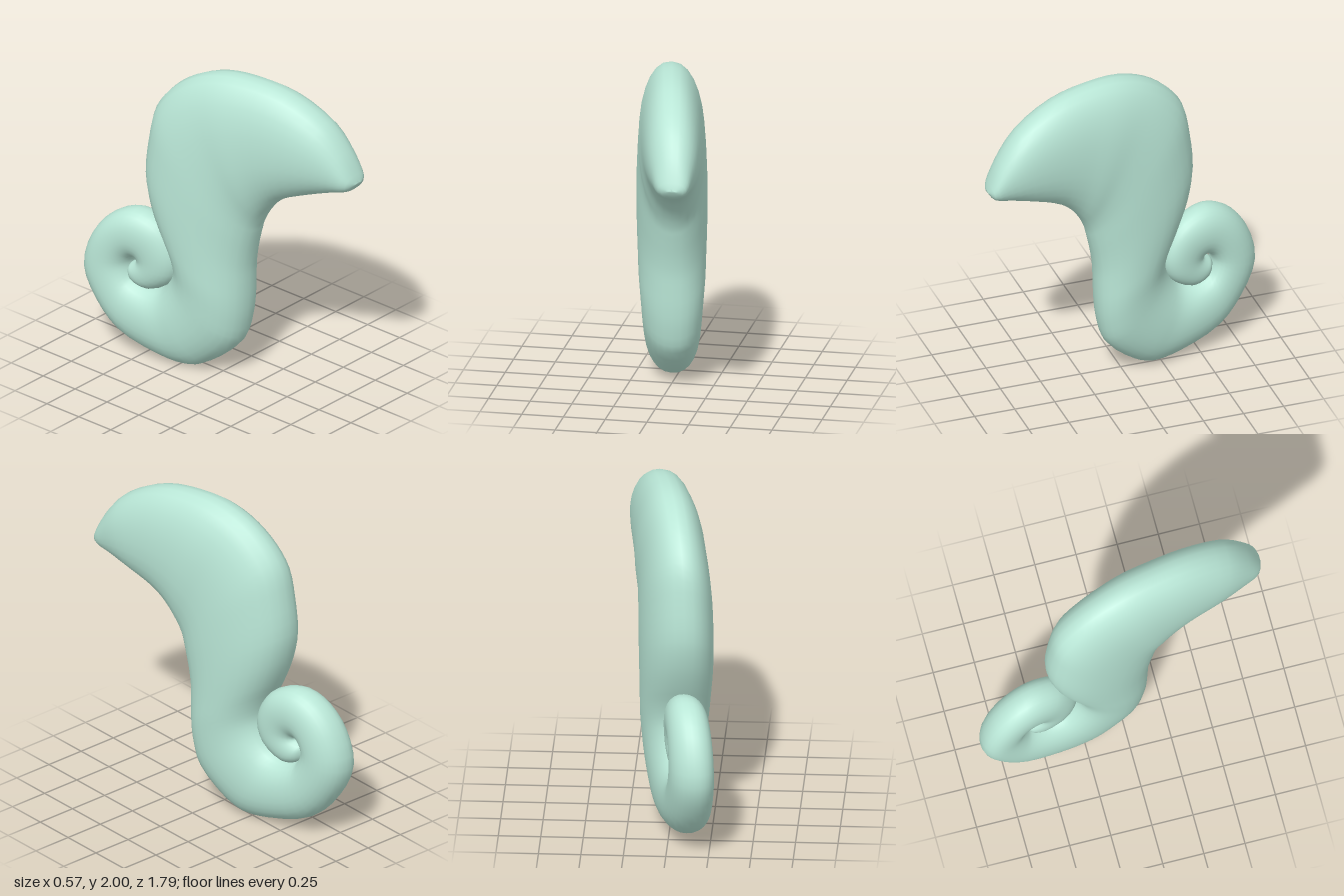
import * as THREE from 'three';

// Each row is one cross-section: outer z, outer y, inner z, inner y, half thickness
const head = [
  [0.9, 1.49, 0.9, 1.48, 0.025],
  [0.885, 1.535, 0.86, 1.43, 0.085],
  [0.82, 1.67, 0.74, 1.39, 0.125],
  [0.69, 1.83, 0.6, 1.34, 0.16],
  [0.45, 1.96, 0.41, 1.255, 0.18],
  [0.2, 2.0, 0.33, 1.18, 0.19],
  [0, 1.988, 0.28, 1.11, 0.2],
  [-0.18, 1.92, 0.255, 1.06, 0.2],
  [-0.32, 1.81, 0.24, 1.02, 0.205],
  [-0.41, 1.68, 0.23, 0.98, 0.21],
];
const body = [
  [-0.45, 1.5, 0.215, 0.92, 0.213],
  [-0.472, 1.26, 0.195, 0.83, 0.213],
  [-0.44, 1.08, 0.18, 0.73, 0.21],
  [-0.38, 0.92, 0.175, 0.62, 0.205],
  [-0.315, 0.78, 0.17, 0.5, 0.2],
  [-0.285, 0.66, 0.155, 0.37, 0.19],
  [-0.305, 0.57, 0.11, 0.22, 0.18],
  [-0.36, 0.485, -0.08, 0.05, 0.168],
  [-0.42, 0.45, -0.19, 0.004, 0.158],
  [-0.5, 0.447, -0.38, 0.02, 0.15],
];
const tail = [
  [-0.575, 0.48, -0.64, 0.11, 0.14],
  [-0.6, 0.525, -0.8, 0.28, 0.135],
  [-0.605, 0.57, -0.893, 0.5, 0.132],
  [-0.59, 0.605, -0.835, 0.73, 0.13],
  [-0.575, 0.615, -0.71, 0.88, 0.127],
  [-0.565, 0.617, -0.56, 0.938, 0.125],
  [-0.557, 0.615, -0.4, 0.888, 0.12],
  [-0.553, 0.61, -0.315, 0.79, 0.115],
  [-0.553, 0.603, -0.275, 0.66, 0.11],
  [-0.56, 0.597, -0.315, 0.525, 0.105],
  [-0.573, 0.59, -0.46, 0.43, 0.095],
  [-0.592, 0.578, -0.565, 0.455, 0.075],
  [-0.605, 0.56, -0.615, 0.525, 0.02],
];

const LEAN = 0.2; // the whole figure is turned a little: x follows z
const SIDES = 28;
const STEPS = 3;

// Loft rounded, slightly flat-sided sections along two edge curves
function loft(rows) {
  const outer = new THREE.CatmullRomCurve3(rows.map(r => new THREE.Vector3(r[4], r[1], r[0])));
  const inner = new THREE.CatmullRomCurve3(rows.map(r => new THREE.Vector3(r[4], r[3], r[2])));
  const rings = (rows.length - 1) * STEPS;
  const pos = [], index = [];
  for (let i = 0; i <= rings; i++) {
    const o = outer.getPoint(i / rings), n = inner.getPoint(i / rings);
    const half = (o.x + n.x) / 2;
    for (let j = 0; j < SIDES; j++) {
      const a = (j / SIDES) * Math.PI * 2;
      const c = Math.cos(a), s = Math.sin(a);
      const k = Math.sign(c) * Math.abs(c) ** 0.93;
      const w = Math.sign(s) * Math.abs(s) ** 0.9;
      const z = (o.z + n.z) / 2 + k * (o.z - n.z) / 2;
      const y = (o.y + n.y) / 2 + k * (o.y - n.y) / 2;
      pos.push(LEAN * z + w * half, y, z);
    }
  }
  for (let i = 0; i < rings; i++) {
    for (let j = 0; j < SIDES; j++) {
      const a = i * SIDES + j, b = i * SIDES + (j + 1) % SIDES;
      index.push(a, b, a + SIDES, b, b + SIDES, a + SIDES);
    }
  }
  // Close both ends
  const last = rings * SIDES;
  for (let j = 1; j < SIDES - 1; j++) {
    index.push(0, j + 1, j, last, last + j, last + j + 1);
  }
  const geo = new THREE.BufferGeometry();
  geo.setAttribute('position', new THREE.Float32BufferAttribute(pos, 3));
  geo.setIndex(index);
  geo.computeVertexNormals();
  return geo;
}

export function createModel() {
  const group = new THREE.Group();
  group.name = 'curledFigure';
  const material = new THREE.MeshStandardMaterial({ color: 0xb9e6d6 });
  // One continuous skin from the snout to the curled tail
  const skin = new THREE.Mesh(loft([...head, ...body, ...tail]), material);
  skin.name = 'headBodyAndCurledTail';
  group.add(skin);
  return group;
}
